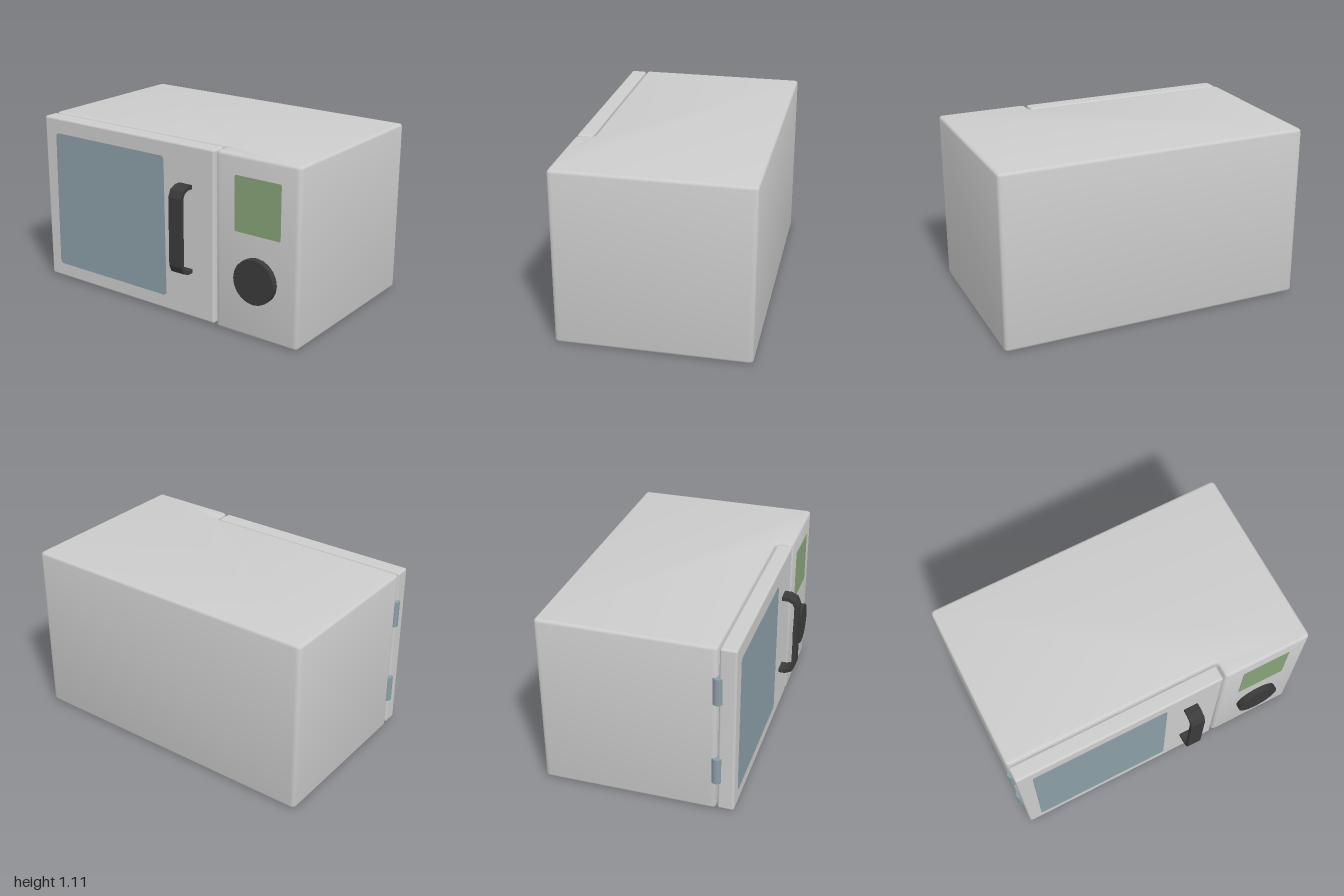
import * as THREE from 'three';
import { toCreasedNormals } from 'three/addons/utils/BufferGeometryUtils.js';
import { RoundedBoxGeometry } from 'three/addons/geometries/RoundedBoxGeometry.js';

const material = (name, color) => new THREE.MeshStandardMaterial({ name, color });

// Closed shape through [x, y] corners, each rounded by radius r
function roundedShape(points, r) {
  const shape = new THREE.Shape();
  const corners = points.map(([x, y]) => new THREE.Vector2(x, y));
  corners.forEach((p, i) => {
    const prev = corners[(i + corners.length - 1) % corners.length];
    const next = corners[(i + 1) % corners.length];
    const a = p.clone().add(prev.clone().sub(p).setLength(r));
    const b = p.clone().add(next.clone().sub(p).setLength(r));
    if (i === 0) shape.moveTo(a.x, a.y);
    else shape.lineTo(a.x, a.y);
    shape.quadraticCurveTo(p.x, p.y, b.x, b.y);
  });
  shape.closePath();
  return shape;
}

export function createModel() {
  const group = new THREE.Group();
  group.name = 'microwaveOven';
  const casing = material('casingGrey', 0xcccccc);
  const glass = material('glassBlue', 0x8a9ea6);
  const display = material('displayGreen', 0x87a378);
  const dark = material('darkGrey', 0x3b3b3b);

  function add(name, geometry, mat, x = 0, y = 0, z = 0) {
    const mesh = new THREE.Mesh(geometry, mat);
    mesh.name = name;
    mesh.position.set(x, y, z);
    group.add(mesh);
    return mesh;
  }

  // Body: L-shaped footprint with the control panel standing forward
  const height = 1.113, bevel = 0.018;
  const footprint = roundedShape([
    [-0.982, -0.438], [0.412, -0.438], [0.412, -0.55],
    [0.995, -0.55], [0.995, 0.655], [-0.982, 0.655],
  ], 0.03);
  const body = new THREE.ExtrudeGeometry(footprint, {
    depth: height - 2 * bevel, bevelThickness: bevel, bevelSize: bevel,
    bevelOffset: -bevel, bevelSegments: 3, curveSegments: 4,
  });
  body.translate(0, 0, bevel);
  body.rotateX(-Math.PI / 2);
  add('body', toCreasedNormals(body, 0.7), casing);

  // Door in the recess
  add('door', new RoundedBoxGeometry(1.375, 1.105, 0.102, 3, 0.015), casing, -0.29, 0.558, 0.498);

  // Thin painted panels
  const plate = (points, r) => new THREE.ExtrudeGeometry(roundedShape(points, r),
    { depth: 0.006, bevelEnabled: false, curveSegments: 4 });
  add('doorWindow', plate([
    [-0.892, 0.1], [0.027, 0.1], [0.019, 1.01], [-0.878, 1.01],
  ], 0.025), glass, 0, 0, 0.546);
  add('displayScreen', plate([
    [0.55, 0.65], [0.87, 0.65], [0.87, 0.993], [0.55, 0.993],
  ], 0.01), display, 0, 0, 0.547);

  // Control knob
  const knob = new THREE.CylinderGeometry(0.141, 0.141, 0.045, 20);
  knob.rotateX(Math.PI / 2);
  add('knob', toCreasedNormals(knob, 0.6), dark, 0.71, 0.374, 0.567);

  // Handle: bent strip, upper half of outer and inner outline mirrored in y
  const outer = [[0.54, 0.282], [0.592, 0.282], [0.637, 0.262], [0.657, 0.218]];
  const inner = [[0.633, 0.213], [0.62, 0.243], [0.588, 0.257], [0.54, 0.257]];
  const mirror = (pts) => pts.map(([z, y]) => [z, -y]).reverse();
  const outline = [...outer, ...mirror(outer), ...mirror(inner), ...inner];
  const strip = new THREE.Shape(outline.map(([z, y]) => new THREE.Vector2(z, y)));
  const handle = new THREE.ExtrudeGeometry(strip, { depth: 0.095, bevelEnabled: false });
  handle.rotateY(-Math.PI / 2);
  add('handle', handle, dark, 0.236, 0.586, 0);

  // Hinges on the door side
  for (const [name, y] of [['lowerHinge', 0.285], ['upperHinge', 0.835]]) {
    add(name, new THREE.CylinderGeometry(0.031, 0.031, 0.172, 12), glass, -0.969, y, 0.44);
  }
  return group;
}
